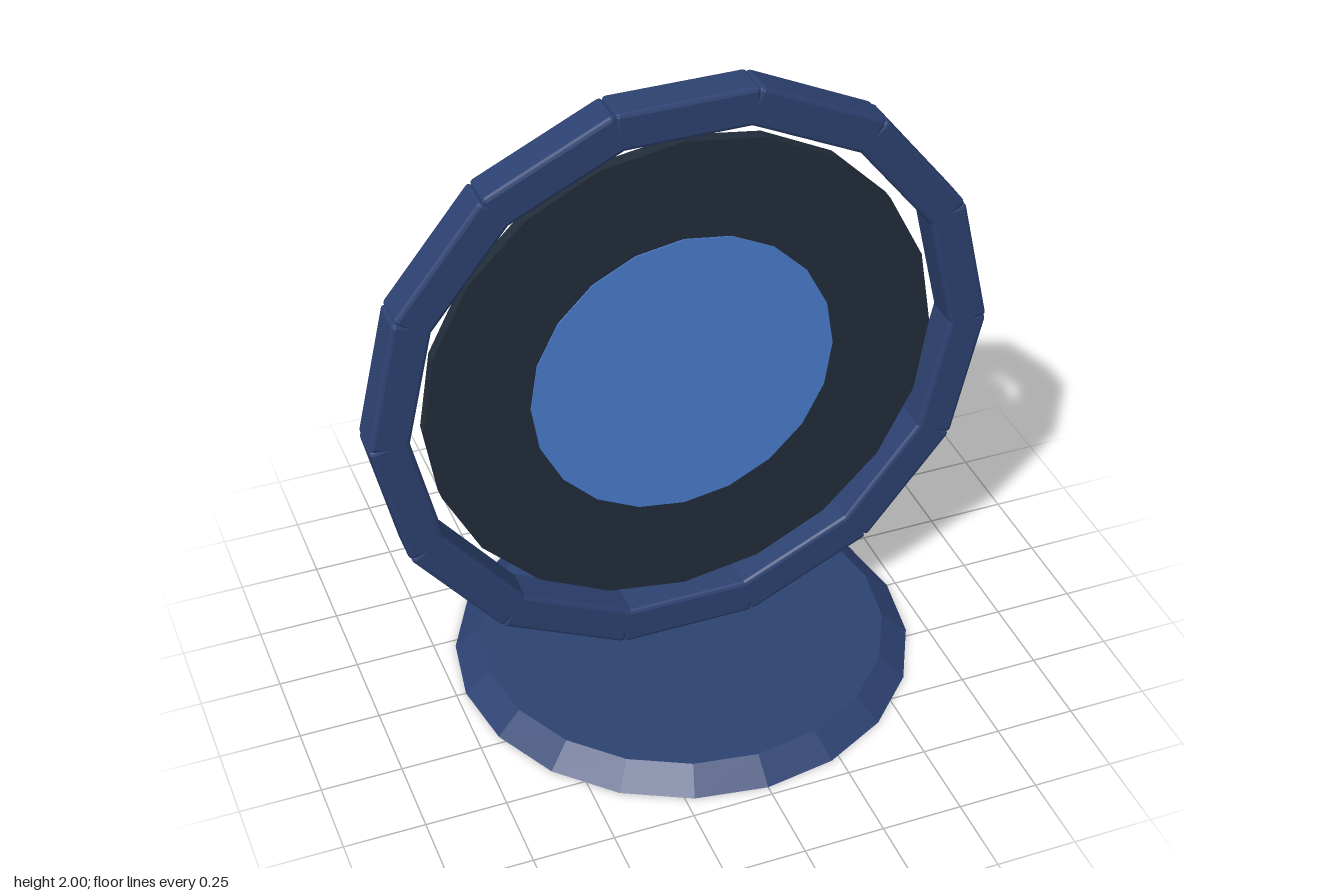
import * as THREE from 'three';
import { RoundedBoxGeometry } from 'three/addons/geometries/RoundedBoxGeometry.js';

const flat = (name, color) => {
  const m = new THREE.MeshStandardMaterial({ color, flatShading: true });
  m.name = name;
  return m;
};

export function createModel() {
  const navy = flat('navy', 0x2d4272);
  const charcoal = flat('charcoal', 0x222d3a);
  const blue = flat('blue', 0x4b7dcd);

  const model = new THREE.Group();
  model.name = 'ringPortal';
  const add = (parent, name, geometry, material) => {
    const mesh = new THREE.Mesh(geometry, material);
    mesh.name = name;
    parent.add(mesh);
    return mesh;
  };

  // Tapered base plate
  add(model, 'base', new THREE.CylinderGeometry(0.64, 0.72, 0.065, 20), navy).position.y = 0.0325;

  // Everything upright shares the ring's centre
  const upright = new THREE.Group();
  upright.name = 'upright';
  upright.position.y = 1.05;
  model.add(upright);

  // Ring of bevelled blocks, one flat side at the top
  const ring = new THREE.Group();
  ring.name = 'ring';
  upright.add(ring);
  const count = 14, radius = 0.89;
  const block = new RoundedBoxGeometry(0.43, 0.12, 0.124, 1, 0.012);
  for (let i = 0; i < count; i++) {
    const a = (i / count) * Math.PI * 2;
    const segment = add(ring, 'ringSegment', block, navy);
    segment.position.set(-Math.sin(a) * radius, Math.cos(a) * radius, 0);
    segment.rotation.z = a;
  }

  // Dark disc with a bright centre showing on both faces
  const disc = (r, depth) => new THREE.CylinderGeometry(r, r, depth, 20).rotateX(Math.PI / 2);
  add(upright, 'disc', disc(0.8, 0.04), charcoal);
  add(upright, 'discCentre', disc(0.478, 0.048), blue);

  return model;
}
